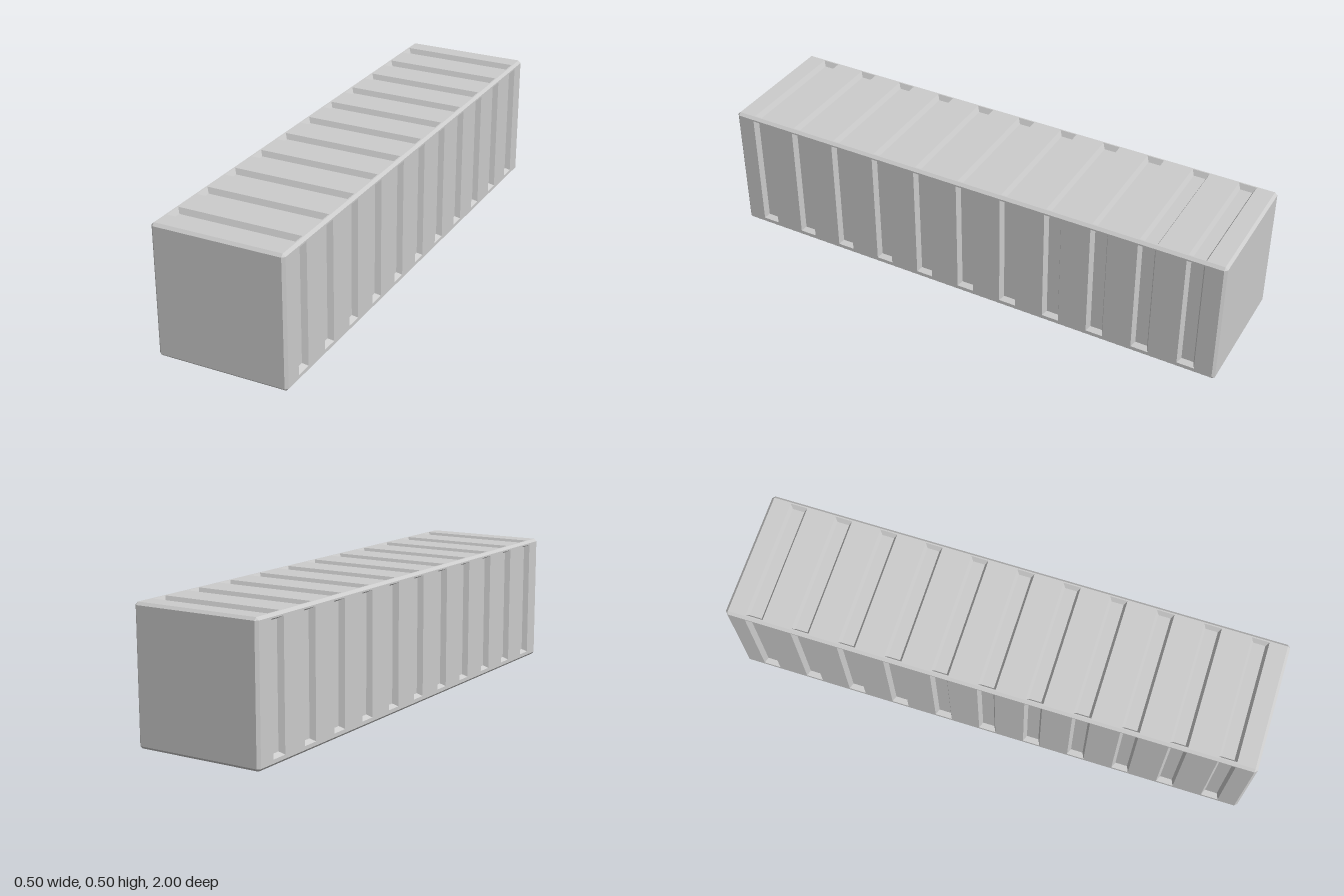
import * as THREE from 'three';

const HALF = new THREE.Vector3(0.25, 0.25, 1); // half size of the container
const BEVEL = 0.01;
const GROOVES = 11, PITCH = 0.178, GROOVE_HALF = 0.033;
const DEPTH = 0.02, SLOPE = 0.01;

const material = new THREE.MeshStandardMaterial({ color: 0xcccccc, flatShading: true });
const V = (x, y, z) => new THREE.Vector3(x, y, z);

// Adds a convex polygon as a fan, wound so that it faces along `outward`
function addPolygon(out, pts, outward) {
  const normal = pts[1].clone().sub(pts[0]).cross(pts[2].clone().sub(pts[0]));
  const p = normal.dot(outward) < 0 ? [...pts].reverse() : pts;
  for (let i = 1; i < p.length - 1; i++) {
    for (const q of [p[0], p[i], p[i + 1]]) out.push(q.x, q.y + HALF.y, q.z);
  }
}

function makeMesh(name, positions) {
  const g = new THREE.BufferGeometry();
  g.setAttribute('position', new THREE.Float32BufferAttribute(positions, 3));
  g.computeVertexNormals();
  const mesh = new THREE.Mesh(g, material);
  mesh.name = name;
  return mesh;
}

// Flat wall on one side of the box: u runs along the row of grooves, v along each groove.
// grooveV gives the two ends of the grooves; leave it out for a plain wall.
function makePanel(name, normal, u, v, grooveV) {
  const out = [];
  const extent = (d) => Math.abs(d.dot(HALF));
  const at = (a, b, depth = 0) => V(0, 0, 0)
    .addScaledVector(u, a).addScaledVector(v, b)
    .addScaledVector(normal, extent(normal) - depth);
  const rect = (a0, a1, b0, b1, d = 0) => [at(a0, b0, d), at(a1, b0, d), at(a1, b1, d), at(a0, b1, d)];
  const add = (pts) => addPolygon(out, pts, normal);
  const U = extent(u) - BEVEL, W = extent(v) - BEVEL;
  let start = -U;
  if (grooveV) {
    const [b0, b1] = grooveV;
    for (let i = 0; i < GROOVES; i++) {
      const c = (i - (GROOVES - 1) / 2) * PITCH;
      const a0 = c - GROOVE_HALF, a1 = c + GROOVE_HALF;
      // flat wall before the groove and beyond its two ends
      add(rect(start, a0, -W, W));
      add(rect(a0, a1, -W, b0));
      add(rect(a0, a1, b1, W));
      // recess floor and four sloping walls
      const rim = rect(a0, a1, b0, b1);
      const floor = rect(a0 + SLOPE, a1 - SLOPE, b0 + SLOPE, b1 - SLOPE, DEPTH);
      add(floor);
      for (let k = 0; k < 4; k++) {
        const n = (k + 1) % 4;
        add([rim[k], rim[n], floor[n], floor[k]]);
      }
      start = a1;
    }
  }
  add(rect(start, U, -W, W));
  return makeMesh(name, out);
}

// Bevels along the twelve edges and at the eight corners
function makeBevels() {
  const out = [];
  const signs = [-1, 1];
  // corner point lying on the face of the given axis
  const corner = (s, axis) => V(...[0, 1, 2].map((k) =>
    s[k] * (HALF.getComponent(k) - (k === axis ? 0 : BEVEL))));
  for (let axis = 0; axis < 3; axis++) {
    const i = (axis + 1) % 3, j = (axis + 2) % 3;
    for (const si of signs) for (const sj of signs) {
      const lo = [0, 0, 0], hi = [0, 0, 0], dir = [0, 0, 0];
      lo[i] = hi[i] = dir[i] = si;
      lo[j] = hi[j] = dir[j] = sj;
      lo[axis] = -1;
      hi[axis] = 1;
      addPolygon(out, [corner(lo, i), corner(hi, i), corner(hi, j), corner(lo, j)], V(...dir));
    }
  }
  for (const x of signs) for (const y of signs) for (const z of signs) {
    const s = [x, y, z];
    addPolygon(out, [corner(s, 0), corner(s, 1), corner(s, 2)], V(x, y, z));
  }
  return makeMesh('bevelledEdges', out);
}

export function createModel() {
  const group = new THREE.Group();
  group.name = 'container';
  const X = V(1, 0, 0), Y = V(0, 1, 0), Z = V(0, 0, 1);
  const sideGroove = [-0.226, 0.234], roofGroove = [-0.235, 0.235];
  group.add(
    makePanel('leftWall', X, Z, Y, sideGroove),
    makePanel('rightWall', X.clone().negate(), Z, Y, sideGroove),
    makePanel('roof', Y, Z, X, roofGroove),
    makePanel('base', Y.clone().negate(), Z, X),
    makePanel('frontEnd', Z, X, Y),
    makePanel('backEnd', Z.clone().negate(), X, Y),
    makeBevels(),
  );
  return group;
}
